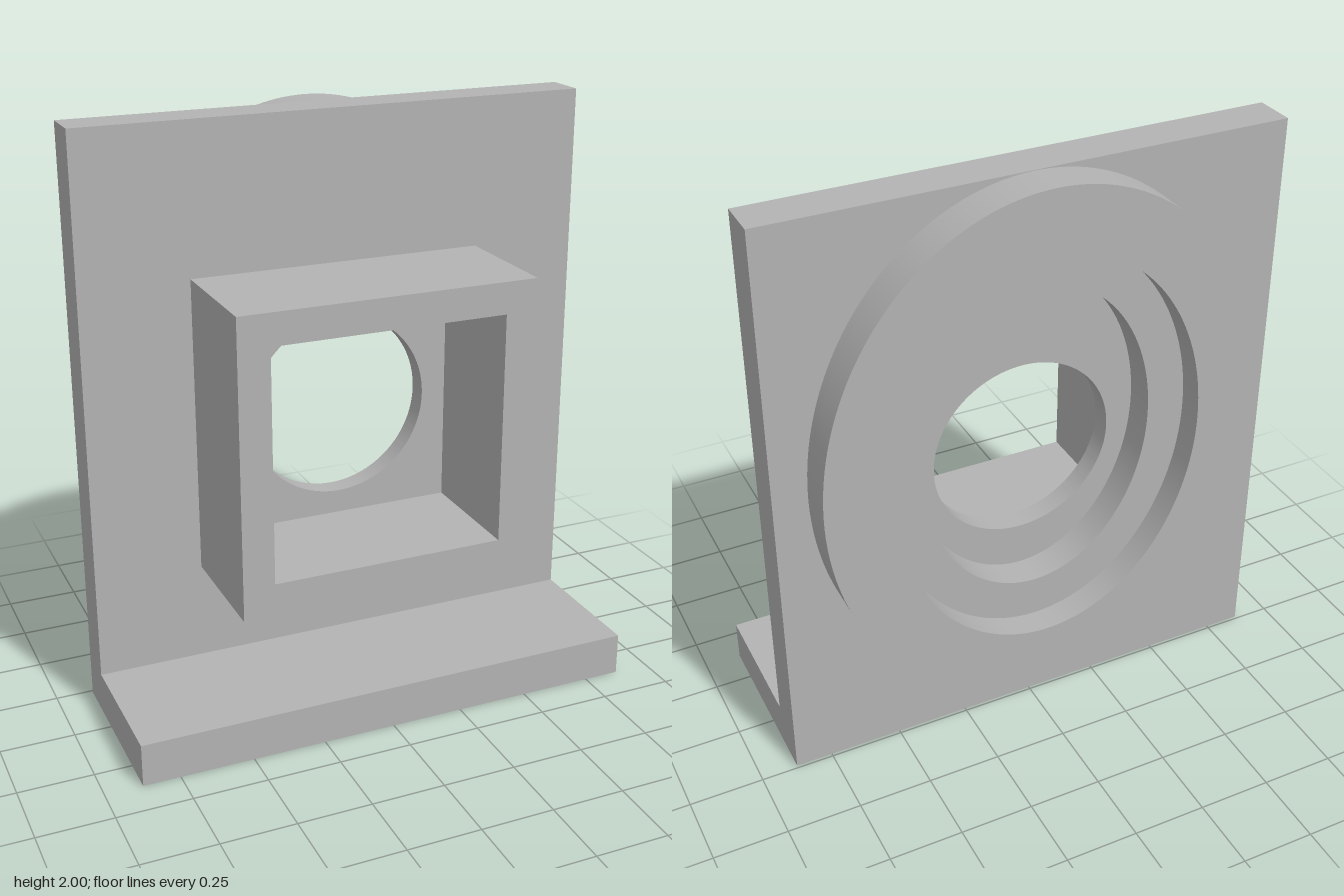
import * as THREE from 'three';
import { toCreasedNormals } from 'three/addons/utils/BufferGeometryUtils.js';

const RING_Y = 1.08; // centre of the oval collar
const HOLE_Y = 0.99; // centre of the round hole and square duct

function rect(x, y0, y1) {
  return new THREE.Shape([
    new THREE.Vector2(-x, y0), new THREE.Vector2(x, y0),
    new THREE.Vector2(x, y1), new THREE.Vector2(-x, y1),
  ]);
}

function oval(y, a, b) {
  return new THREE.Shape().absellipse(0, y, a, b, 0, Math.PI * 2, false, 0);
}

export function createModel() {
  const model = new THREE.Group();
  model.name = 'flangedBracket';
  const grey = new THREE.MeshStandardMaterial({ color: 0xb3b3b3 });
  grey.name = 'plainGrey';

  // Extrudes an outline with one optional opening between two depths
  function slab(name, outline, opening, z0, z1) {
    if (opening) outline.holes.push(opening);
    const geometry = new THREE.ExtrudeGeometry(outline, {
      depth: z1 - z0, bevelEnabled: false, curveSegments: 96,
    });
    geometry.translate(0, 0, z0);
    const mesh = new THREE.Mesh(toCreasedNormals(geometry, 0.5), grey);
    mesh.name = name;
    model.add(mesh);
  }

  // Upright plate: round hole in front, oval pocket behind
  slab('plateFront', rect(0.875, 0, 2), oval(HOLE_Y, 0.315, 0.315), -0.17, -0.097);
  slab('plateBack', rect(0.875, 0, 2), oval(RING_Y, 0.405, 0.557), -0.24, -0.17);

  // Foot
  slab('foot', rect(0.875, 0, 0.147), null, -0.097, 0.373);

  // Square duct on the front
  slab('squareDuct', rect(0.507, 0.482, 1.494), rect(0.4, 0.594, 1.386), -0.097, 0.328);

  // Stepped oval collar on the back
  slab('collarLedge', oval(RING_Y, 0.76, 0.918), oval(RING_Y, 0.405, 0.557), -0.28, -0.24);
  slab('collarRim', oval(RING_Y, 0.76, 0.918), oval(RING_Y, 0.538, 0.702), -0.373, -0.28);

  return model;
}
